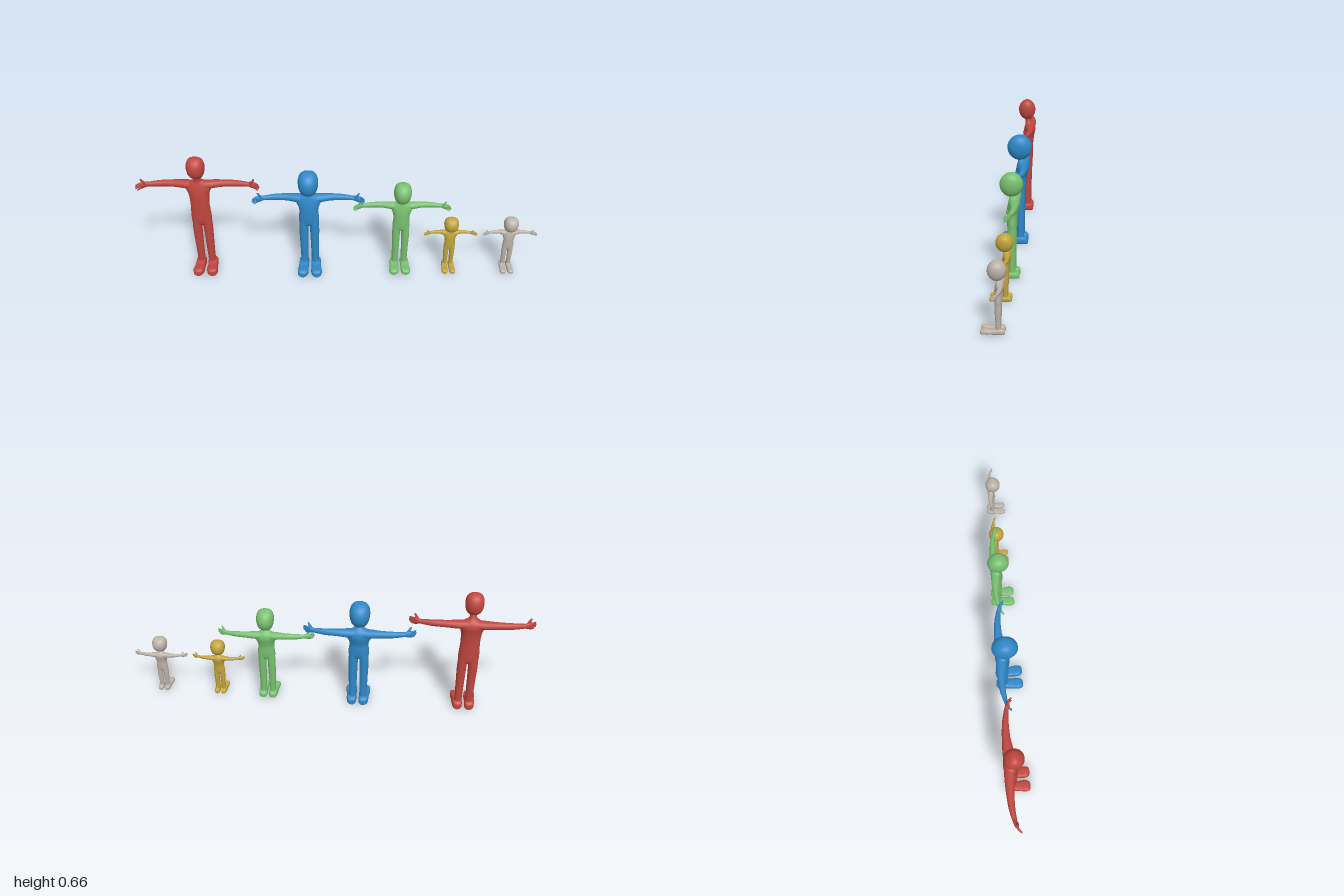
import * as THREE from 'three';

const AXES = { x: ['x', 'y', 'z'], y: ['y', 'z', 'x'], z: ['z', 'x', 'y'] };

// Smooth loft along an axis. Row: [position, centreU, centreV, radiusU, radiusV];
// (U, V) is (y, z) for x, (z, x) for y and (x, y) for z.
function loft(axis, rows, { sides = 16, steps = 3, power = 2 } = {}) {
  const sorted = [...rows].sort((a, b) => a[0] - b[0]);
  const curve = (pick) => new THREE.CatmullRomCurve3(
    sorted.map((r) => new THREE.Vector3(...pick(r))), false, 'catmullrom', 0.5);
  const spine = curve((r) => [r[0], r[1], r[2]]);
  const size = curve((r) => [r[3], r[4], 0]);
  const rings = (rows.length - 1) * steps;
  const [w, u, v] = AXES[axis];
  const soft = (n) => Math.sign(n) * Math.abs(n) ** (2 / power);
  const positions = [], index = [], p = new THREE.Vector3();
  for (let i = 0; i <= rings; i++) {
    const c = spine.getPoint(i / rings), r = size.getPoint(i / rings);
    for (let j = 0; j < sides; j++) {
      const angle = (j / sides) * Math.PI * 2;
      p[w] = c.x;
      p[u] = c.y + soft(Math.cos(angle)) * Math.max(r.x, 0);
      p[v] = c.z + soft(Math.sin(angle)) * Math.max(r.y, 0);
      positions.push(p.x, p.y, p.z);
      if (i === rings) continue;
      const a = i * sides + j, b = i * sides + (j + 1) % sides;
      index.push(a, b, b + sides, a, b + sides, a + sides);
    }
  }
  const geometry = new THREE.BufferGeometry();
  geometry.setAttribute('position', new THREE.Float32BufferAttribute(positions, 3));
  geometry.setIndex(index);
  geometry.computeVertexNormals();
  return geometry;
}

// Sizes: s limb scale, base sole height, crotch, arm height, span half arm span,
// hand length, head [bottom, top, half width, half depth, z], shoe [back, front, height]
const FIGURES = [
  { name: 'redFigure', color: 0xc0463f, x: -0.697, s: 1, base: 0.003, crotch: 0.283, arm: 0.5, span: 0.303,
    hand: 0.06, head: [0.545, 0.658, 0.047, 0.047, -0.015], shoe: [-0.055, 0.073, 0.042] },
  { name: 'blueFigure', color: 0x2f88c8, x: -0.159, s: 1, base: 0, crotch: 0.278, arm: 0.42, span: 0.279,
    hand: 0.06, head: [0.45, 0.578, 0.053, 0.063, -0.015], shoe: [-0.061, 0.079, 0.04] },
  { name: 'greenFigure', color: 0x78c070, x: 0.305, s: 0.86, base: 0.01, crotch: 0.245, arm: 0.378, span: 0.243,
    hand: 0.052, head: [0.403, 0.514, 0.046, 0.054, -0.014], shoe: [-0.055, 0.07, 0.03] },
  { name: 'yellowFigure', color: 0xc0a43c, x: 0.558, s: 0.56, base: 0.007, crotch: 0.128, arm: 0.219, span: 0.136,
    hand: 0.038, head: [0.235, 0.315, 0.039, 0.039, -0.007], shoe: [-0.04, 0.058, 0.022] },
  { name: 'greyFigure', color: 0xbcb2a8, x: 0.858, s: 0.56, base: 0.009, crotch: 0.128, arm: 0.22, span: 0.138,
    hand: 0.038, head: [0.237, 0.318, 0.039, 0.039, -0.006], shoe: [-0.04, 0.06, 0.022] },
];

function createFigure({ name, color, x, s, base, crotch, arm, span, hand, head, shoe }) {
  const figure = new THREE.Group();
  figure.name = name;
  figure.position.x = x;
  const material = new THREE.MeshStandardMaterial({ color });
  const add = (part, geometry) => {
    const mesh = new THREE.Mesh(geometry, material);
    mesh.name = part;
    figure.add(mesh);
  };

  // Head: round from the side, squarer from the front
  const [bottom, top, halfWidth, halfDepth, headZ] = head;
  const headRows = [];
  for (let i = 0; i <= 14; i++) {
    const angle = (i / 14) * Math.PI, r = Math.sin(angle);
    const jaw = 0.94 - 0.06 * Math.cos(angle);
    headRows.push([(bottom + top) / 2 - Math.cos(angle) * (top - bottom) / 2,
      headZ, 0, r * halfDepth, r ** 0.65 * halfWidth * jaw]);
  }
  add('head', loft('y', headRows, { sides: 24, steps: 2, power: 2.15 }));

  // Torso flaring to the shoulders and closing into the neck
  const waist = (crotch + arm) / 2;
  add('torso', loft('y', [
    [crotch - 0.012 * s, -0.021 * s, 0, 0, 0],
    [crotch - 0.008 * s, -0.021 * s, 0, 0.02 * s, 0.042 * s],
    [crotch + 0.025 * s, -0.021 * s, 0, 0.028 * s, 0.051 * s],
    [waist, -0.021 * s, 0, 0.029 * s, 0.047 * s],
    [arm - 0.045 * s, -0.025 * s, 0, 0.032 * s, 0.052 * s],
    [arm - 0.018 * s, -0.03 * s, 0, 0.033 * s, 0.064 * s],
    [arm + 0.004 * s, -0.031 * s, 0, 0.029 * s, 0.062 * s],
    [arm + 0.02 * s, -0.028 * s, 0, 0.022 * s, 0.036 * s],
    [arm + 0.03 * s, -0.023 * s, 0, 0.017 * s, 0.019 * s],
    [Math.max(bottom + 0.012, arm + 0.04 * s), headZ, 0, 0.015 * s, 0.015 * s],
  ], { sides: 20 }));

  for (const [label, d] of [['left', 1], ['right', -1]]) {
    const legX = d * 0.027 * s;
    add(label + 'Leg', loft('y', [
      [base + 0.015 * s, -0.023 * s, legX, 0.019 * s, 0.019 * s],
      [base + 0.07 * s, -0.022 * s, legX, 0.019 * s, 0.019 * s],
      [crotch * 0.55, -0.021 * s, legX, 0.021 * s, 0.021 * s],
      [crotch - 0.03 * s, -0.021 * s, legX, 0.024 * s, 0.0235 * s],
      [crotch + 0.04 * s, -0.021 * s, legX * 0.9, 0.023 * s, 0.022 * s],
    ]));

    // Flat-soled shoe, slightly splayed, with a raised toe and ankle
    const [back, front, height] = shoe;
    const shoeRow = (t, h, w) => [back + (front - back) * t, d * (0.029 + 0.007 * t) * s,
      base + height * h / 2, w * s, height * h / 2];
    add(label + 'Shoe', loft('z', [
      shoeRow(0, 0.6, 0), shoeRow(0.02, 0.75, 0.016), shoeRow(0.12, 1, 0.024),
      shoeRow(0.35, 1, 0.025), shoeRow(0.58, 0.82, 0.025), shoeRow(0.78, 0.9, 0.028),
      shoeRow(0.92, 0.85, 0.024), shoeRow(0.985, 0.65, 0.015), shoeRow(1, 0.5, 0),
    ], { sides: 20, power: 3.5 }));

    // Arm sweeping gently forward to the wrist
    const wrist = span - hand;
    add(label + 'Arm', loft('x', [
      [d * 0.02 * s, arm - 0.003 * s, -0.033 * s, 0.023 * s, 0.027 * s],
      [d * 0.065 * s, arm - 0.002 * s, -0.036 * s, 0.021 * s, 0.025 * s],
      [d * wrist * 0.5, arm, -0.04 * s, 0.018 * s, 0.019 * s],
      [d * wrist * 0.78, arm, -0.038 * s, 0.016 * s, 0.015 * s],
      [d * wrist, arm, -0.03 * s, 0.012 * s, 0.011 * s],
      [d * (wrist + 0.15 * hand), arm, -0.028 * s, 0.012 * s, 0.01 * s],
    ]));

    // Palm facing forward
    add(label + 'Palm', loft('x', [
      [d * (wrist - 0.05 * hand), arm, -0.03 * s, 0.01 * s, 0.009 * s],
      [d * (wrist + 0.2 * hand), arm, -0.027 * s, 0.015 * s, 0.01 * s],
      [d * (wrist + 0.5 * hand), arm - 0.002 * s, -0.022 * s, 0.018 * s, 0.009 * s],
      [d * (wrist + 0.6 * hand), arm - 0.003 * s, -0.019 * s, 0.014 * s, 0.006 * s],
      [d * (wrist + 0.63 * hand), arm - 0.003 * s, -0.018 * s, 0, 0],
    ], { sides: 12 }));

    // Four stacked fingers curling forward
    [0.95, 1, 0.97, 0.87].forEach((reach, i) => {
      const y = arm + (0.011 - i * 0.0088) * s, r = 0.0047 * s;
      const row = (t, z, k, drop) => [d * (wrist + hand * t), y - drop * s, z * s, r * k, r * k];
      add(label + 'Finger' + (i + 1), loft('x', [
        row(0.45, -0.023, 1, 0), row(0.45 + (reach - 0.45) * 0.5, -0.016, 1.05, 0.001),
        row(reach - 0.05, -0.005, 0.9, 0.003), row(reach, -0.001, 0, 0.004),
      ], { sides: 8 }));
    });

    // Raised thumb
    const thumb = (y, t, r) => [arm + y * s, (-0.024 + y * 0.2) * s, d * (wrist + hand * t), r * s, r * s];
    add(label + 'Thumb', loft('y', [
      thumb(0, 0.22, 0.007), thumb(0.014, 0.33, 0.0075), thumb(0.026, 0.44, 0.006),
      thumb(0.034, 0.5, 0.0045), thumb(0.037, 0.52, 0),
    ], { sides: 8 }));
  }
  return figure;
}

export function createModel() {
  const model = new THREE.Group();
  model.name = 'figureLineup';
  FIGURES.forEach((spec) => model.add(createFigure(spec)));
  return model;
}
